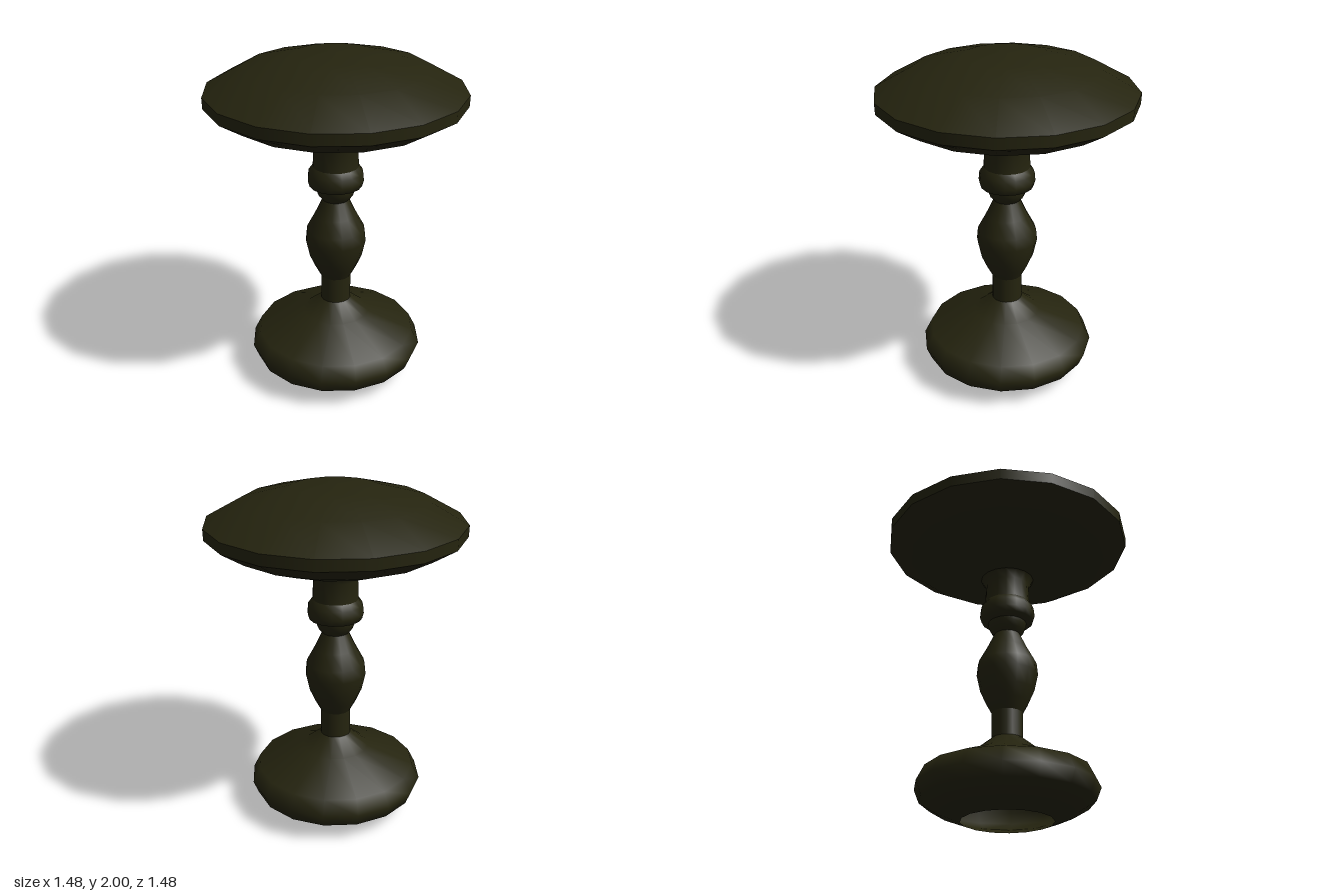
import * as THREE from 'three';

const SIDES = 16;

export function createModel() {
  const model = new THREE.Group();
  model.name = 'pedestalTable';

  const darkWood = new THREE.MeshStandardMaterial({ color: 0x25240f, side: THREE.DoubleSide });
  darkWood.name = 'darkWood';

  // Turned part: profile of [radius, height] pairs from bottom to top
  const turned = (name, profile) => {
    const points = profile.map(([r, y]) => new THREE.Vector2(r, y));
    const mesh = new THREE.Mesh(new THREE.LatheGeometry(points, SIDES), darkWood);
    mesh.name = name;
    model.add(mesh);
  };

  // Hollow foot, open underneath
  turned('base', [
    [0.26, 0], [0.39, 0.05], [0.49, 0.11], [0.52, 0.185],
    [0.475, 0.275], [0.2, 0.385], [0.09, 0.475],
  ]);

  // Column with vase-shaped swelling
  turned('lowerStem', [[0.09, 0.475], [0.09, 0.63]]);
  turned('baluster', [
    [0.09, 0.63], [0.125, 0.695], [0.158, 0.77], [0.18, 0.87],
    [0.173, 0.94], [0.125, 1.03], [0.078, 1.13],
  ]);

  // Ring mouldings under the neck
  turned('lowerRing', [[0.078, 1.13], [0.1, 1.155], [0.112, 1.185], [0.115, 1.205]]);
  turned('upperRing', [
    [0.115, 1.205], [0.155, 1.22], [0.165, 1.255], [0.16, 1.305], [0.135, 1.34],
  ]);
  turned('neck', [[0.135, 1.34], [0.13, 1.46], [0.16, 1.505]]);

  // Lens-shaped top with a narrow upright rim
  turned('tableUnderside', [[0.16, 1.505], [0.41, 1.575], [0.6, 1.645], [0.738, 1.73]]);
  turned('tableRim', [[0.738, 1.73], [0.74, 1.795]]);
  turned('tableTop', [[0.74, 1.795], [0.52, 1.918], [0.24, 1.99], [0, 2]]);

  return model;
}
